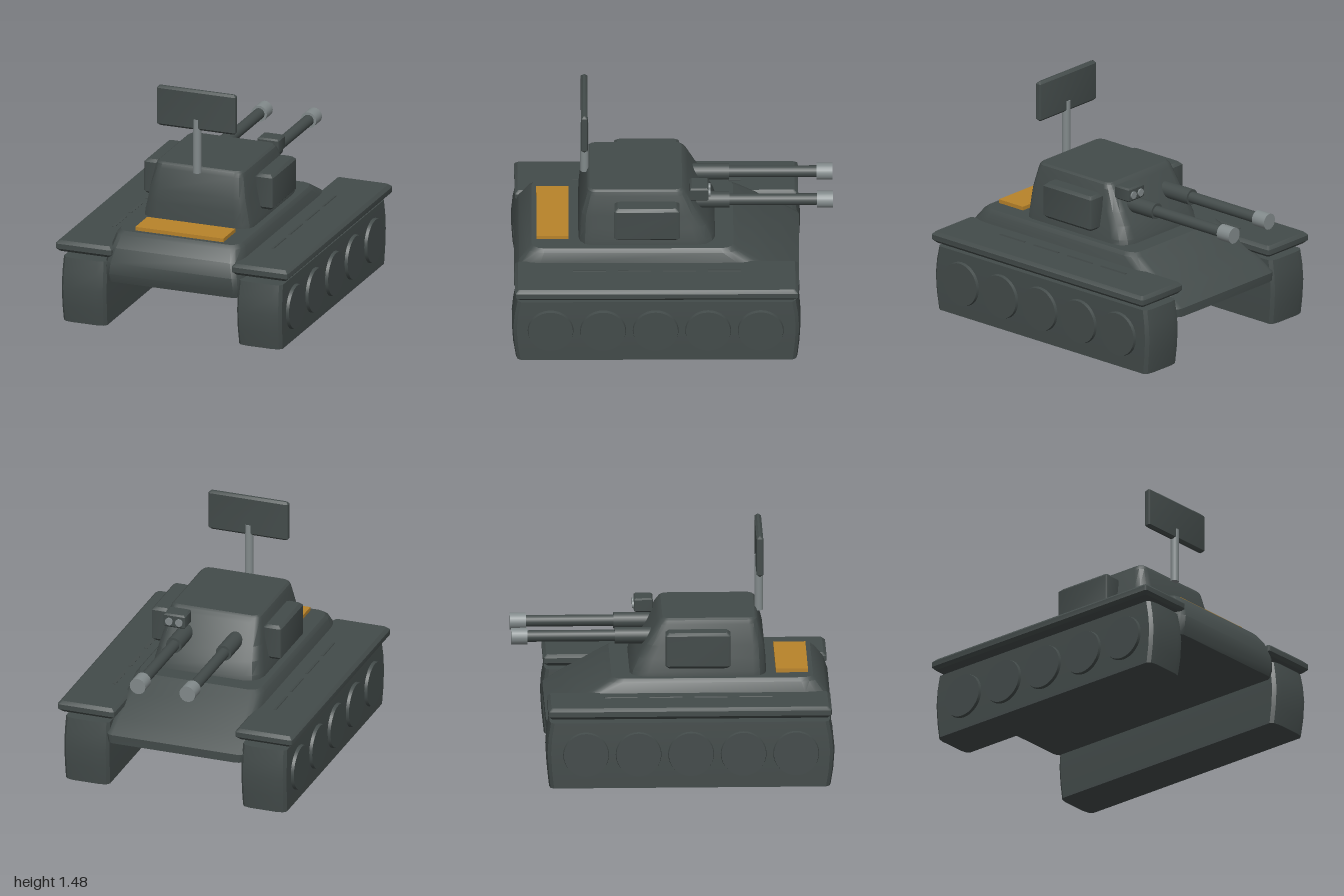
import * as THREE from 'three';
import { toCreasedNormals } from 'three/addons/utils/BufferGeometryUtils.js';

// Stack of rounded rectangles; each section is [y, halfWidth, zMin, zMax, rx, rzMin, rzMax]
function loft(sections, steps = 3, crease = 0.5) {
  const pos = [], index = [], n = 4 * (steps + 1);
  for (const [y, hw, z0, z1, rx, r0, r1 = r0] of sections) {
    for (let c = 0; c < 4; c++) {
      const cx = (hw - rx) * (c === 0 || c === 3 ? 1 : -1);
      const rz = c < 2 ? r0 : r1;
      const cz = c < 2 ? z0 + r0 : z1 - r1;
      for (let s = 0; s <= steps; s++) {
        const a = (c + s / steps) * Math.PI / 2;
        pos.push(cx + rx * Math.cos(a), y, cz - rz * Math.sin(a));
      }
    }
  }
  for (let k = 0; k < sections.length - 1; k++) {
    for (let i = 0; i < n; i++) {
      const j = (i + 1) % n, a = k * n + i, b = k * n + j;
      index.push(a, b, b + n, a, b + n, a + n);
    }
  }
  const top = (sections.length - 1) * n;
  for (let i = 1; i < n - 1; i++) {
    index.push(top, top + i, top + i + 1, 0, i + 1, i);
  }
  const g = new THREE.BufferGeometry();
  g.setAttribute('position', new THREE.Float32BufferAttribute(pos, 3));
  g.setIndex(index);
  return toCreasedNormals(g, crease);
}

// Box with chamfered edges, centred on the origin
function bevelBox(w, h, d, b) {
  const row = (y, inset) => [y, w / 2 - inset, -d / 2 + inset, d / 2 - inset, b * 0.8, b * 0.8];
  return loft([row(-h / 2, b), row(-h / 2 + b, 0), row(h / 2 - b, 0), row(h / 2, b)], 2, 0.4);
}

export function createModel() {
  const model = new THREE.Group();
  model.name = 'tank';
  const mat = (name, color) => {
    const m = new THREE.MeshStandardMaterial({ color });
    m.name = name;
    return m;
  };
  const armour = mat('dark armour', 0x434b4a);
  const steel = mat('light steel', 0x828a8b);
  const amber = mat('amber', 0xb8832a);

  const add = (name, geometry, material, x = 0, y = 0, z = 0) => {
    const mesh = new THREE.Mesh(geometry, material);
    mesh.name = name;
    mesh.position.set(x, y, z);
    model.add(mesh);
    return mesh;
  };
  // Cylinder lying along z between two stations
  const rod = (name, r, z0, z1, material, x, y) => {
    const g = new THREE.CylinderGeometry(r, r, Math.abs(z1 - z0), 20).rotateX(Math.PI / 2);
    return add(name, g, material, x, y, (z0 + z1) / 2);
  };

  // Hull with sloped nose and chamfered tail
  add('hull', loft([
    [0.30, 0.455, -0.79, 0.97, 0.05, 0.05, 0.10],
    [0.355, 0.465, -0.79, 0.985, 0.05, 0.05, 0.12],
    [0.43, 0.465, -0.68, 0.985, 0.06, 0.08, 0.13],
    [0.52, 0.442, -0.535, 0.955, 0.06, 0.12, 0.13],
    [0.59, 0.425, -0.415, 0.90, 0.06, 0.10, 0.10],
    [0.612, 0.405, -0.38, 0.875, 0.06, 0.08, 0.08],
  ]), armour);

  // Turret
  add('turret', loft([
    [0.612, 0.365, -0.265, 0.585, 0.10, 0.11, 0.08],
    [0.64, 0.362, -0.258, 0.584, 0.10, 0.11, 0.08],
    [0.72, 0.345, -0.22, 0.58, 0.09, 0.10, 0.08],
    [0.80, 0.329, -0.17, 0.572, 0.08, 0.09, 0.07],
    [0.93, 0.303, -0.095, 0.538, 0.06, 0.06, 0.06],
    [0.955, 0.294, -0.075, 0.528, 0.05, 0.05, 0.05],
    [0.966, 0.28, -0.06, 0.515, 0.04, 0.04, 0.04],
  ]), armour);

  // Running gear, fenders and turret side boxes, mirrored
  const track = loft([
    [0, 0.146, -0.778, 0.975, 0.06, 0.03],
    [0.11, 0.149, -0.79, 0.992, 0.06, 0.03],
    [0.23, 0.150, -0.797, 1.0, 0.06, 0.03],
    [0.33, 0.149, -0.79, 0.99, 0.06, 0.03],
    [0.422, 0.146, -0.775, 0.972, 0.06, 0.03],
  ], 2);
  const fender = bevelBox(0.38, 0.072, 1.765, 0.02);
  const sideBox = bevelBox(0.12, 0.23, 0.405, 0.018);
  const strut = new THREE.BoxGeometry(0.018, 0.13, 0.205);
  for (const s of [1, -1]) {
    const side = s > 0 ? 'left' : 'right';
    add(side + 'Track', track, armour, s * 0.588);
    add(side + 'Fender', fender, armour, s * 0.59, 0.491, 0.098);
    add(side + 'TurretBox', sideBox, armour, s * 0.372, 0.792, 0.158);
    for (let i = 0; i < 5; i++) {
      const wheel = new THREE.CylinderGeometry(0.139, 0.145, 0.03, 32).rotateZ(-s * Math.PI / 2);
      add(side + 'Wheel', wheel, armour, s * 0.742, 0.22, 0.759 - i * 0.327);
    }
    for (let i = 0; i < 4; i++) {
      add(side + 'FenderStrut', strut, armour, s * 0.55, 0.468, 0.515 - i * 0.28).rotation.z = s * 0.25;
    }
    // Gun: sleeve, barrel and muzzle
    rod(side + 'GunSleeve', 0.051, -0.05, -0.355, armour, s * 0.165, 0.822);
    rod(side + 'GunBarrel', 0.036, -0.30, -0.92, armour, s * 0.165, 0.822);
    rod(side + 'GunMuzzle', 0.052, -0.90, -1.0, steel, s * 0.165, 0.822);
  }

  // Sight box with two lenses
  add('sightBox', bevelBox(0.145, 0.09, 0.118, 0.01), armour, 0.21, 0.923, -0.168);
  for (const x of [0.177, 0.243]) rod('sightLens', 0.024, -0.20, -0.237, steel, x, 0.92);

  // Radar mast and panel
  add('radarMast', new THREE.CylinderGeometry(0.027, 0.027, 0.355, 16), steel, 0, 1.113, 0.546);
  add('radarPanel', bevelBox(0.53, 0.262, 0.042, 0.014), armour, 0, 1.351, 0.547);

  // Rear deck plate
  add('deckPlate', new THREE.BoxGeometry(0.59, 0.026, 0.2), amber, 0, 0.623, 0.745);

  return model;
}
